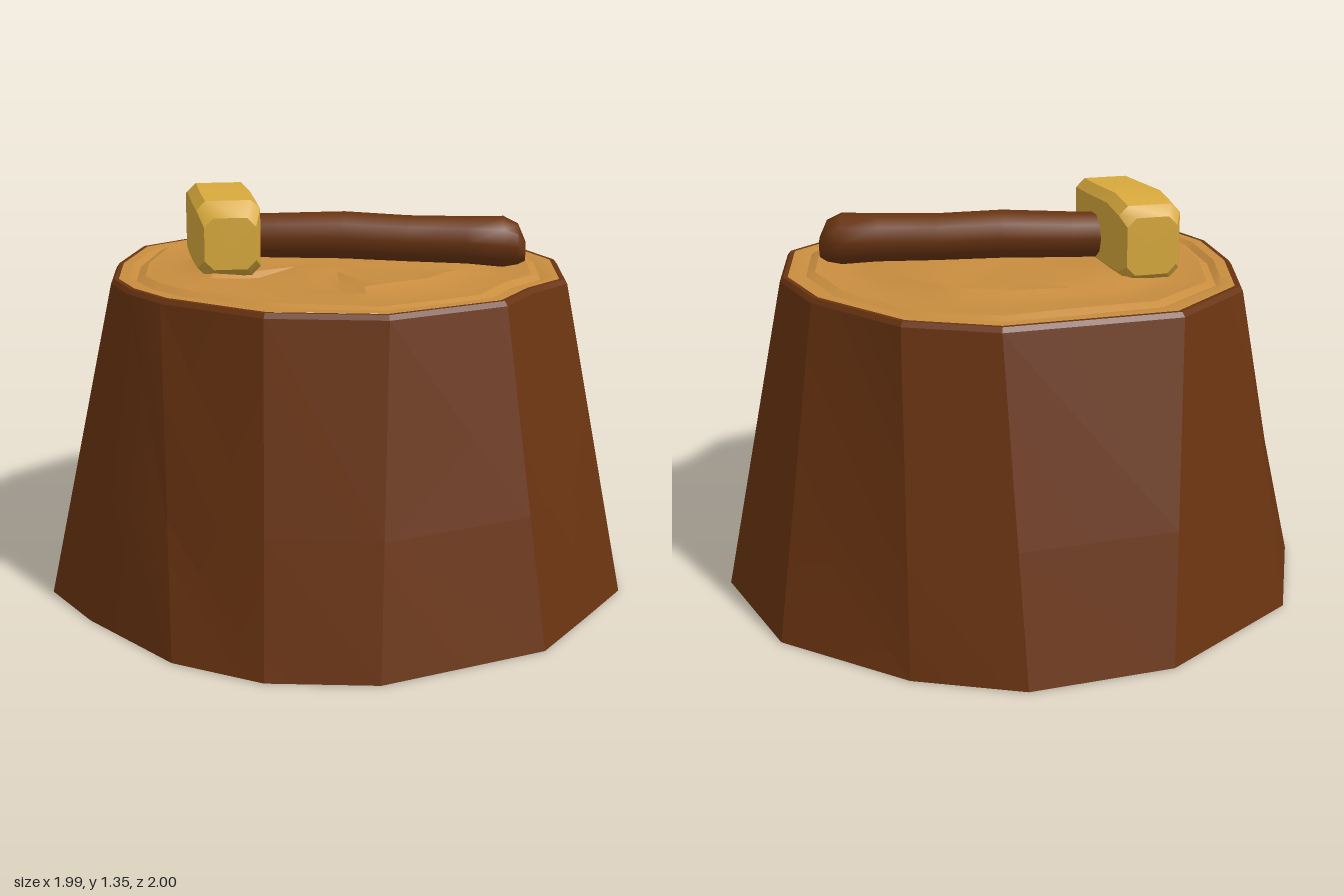
import * as THREE from 'three';
import { toCreasedNormals } from 'three/addons/utils/BufferGeometryUtils.js';

const bark = new THREE.MeshStandardMaterial({ color: 0x6a3411 });
bark.name = 'barkBrown';
const cutWood = new THREE.MeshStandardMaterial({ color: 0xc88d3f });
cutWood.name = 'cutWood';
const gold = new THREE.MeshStandardMaterial({ color: 0xd8a93c });
gold.name = 'goldMetal';
const grey = new THREE.MeshStandardMaterial({ color: 0x8a8080 });
grey.name = 'greyChip';

const V = (x, y, z) => new THREE.Vector3(x, y, z);

// Skin a list of rings; caps close the ends, altSplit(i, j) picks the other quad diagonal
function loft(rings, { start = true, end = true, crease = 0.5, altSplit = () => false } = {}) {
  const tris = [];
  const n = rings[0].length;
  for (let i = 0; i < rings.length - 1; i++) {
    for (let j = 0; j < n; j++) {
      const k = (j + 1) % n;
      const a = rings[i][j], b = rings[i][k], c = rings[i + 1][k], d = rings[i + 1][j];
      if (altSplit(i, j)) tris.push(a, d, b, b, d, c);
      else tris.push(a, d, c, a, c, b);
    }
  }
  const centre = (r) => r.reduce((s, p) => s.add(p), V(0, 0, 0)).divideScalar(n);
  const first = rings[0], last = rings[rings.length - 1];
  const c0 = centre(first), c1 = centre(last);
  for (let j = 0; j < n; j++) {
    const k = (j + 1) % n;
    if (start) tris.push(c0, first[j], first[k]);
    if (end) tris.push(c1, last[k], last[j]);
  }
  return toCreasedNormals(new THREE.BufferGeometry().setFromPoints(tris), crease);
}

function mesh(name, geometry, material) {
  const m = new THREE.Mesh(geometry, material);
  m.name = name;
  return m;
}

// Outlines of the stump [x, z]; entry 5 is the line of the split in the bark
const FOOT = [[-0.02, -1], [0.34, -0.92], [0.76, -0.66], [0.98, -0.22], [0.99, 0.2], [0.86, 0.44], [0.71, 0.71],
  [0.21, 0.99], [-0.14, 1], [-0.44, 0.88], [-0.76, 0.58], [-0.94, 0.35], [-1, 0], [-0.9, -0.46], [-0.48, -0.87]];
const TOP = [[0.05, -0.75], [0.34, -0.68], [0.62, -0.42], [0.74, -0.17], [0.75, 0.18], [0.64, 0.33], [0.55, 0.53],
  [0.21, 0.75], [-0.15, 0.75], [-0.48, 0.57], [-0.61, 0.43], [-0.69, 0.28], [-0.73, 0], [-0.71, -0.33], [-0.49, -0.61]];
const SPLIT = 5;

function barkGeometry() {
  const ring = (pts, y, s = 1) => pts.map(([x, z]) => V(x * s, y, z * s));
  const foot = ring(FOOT, 0);
  const lip = ring(TOP, 1.065, 1.035);
  const mid = foot.map((p, j) => p.clone().lerp(lip[j], 0.42 / 1.065));
  // The tip of the split lies flush with the bark
  mid[SPLIT].copy(mid[SPLIT - 1]).lerp(mid[SPLIT + 1], 0.5);
  return loft([foot, mid, lip, ring(TOP, 1.08, 1.02), ring(TOP, 1.078, 0.99)],
    { end: false, crease: 0.35, altSplit: (i, j) => i === 1 && j === SPLIT - 1 });
}

// Cut face with shallow growth rings and a chipped inner disc
function cutFaceGeometry() {
  const outline = [];
  TOP.forEach(([x, z], j) => {
    const [nx, nz] = TOP[(j + 1) % TOP.length];
    for (let t = 0; t < 3; t++) outline.push([x + (nx - x) * t / 3, z + (nz - z) * t / 3]);
  });
  const profile = [[1, 1.08], [0.95, 1.081], [0.92, 1.072], [0.88, 1.086], [0.75, 1.078],
    [0.64, 1.084], [0.59, 1.098], [0.4, 1.092], [0.2, 1.09]];
  const rings = profile.map(([s, y]) => outline.map(([x, z]) => {
    const a = Math.atan2(z, x);
    const wobble = s < 0.95 ? 0.005 * Math.sin(3 * a + s * 9) : 0;
    const chip = s < 0.62 && s > 0.3 && a > 1.3 && a < 2.6 ? -0.02 : 0;
    return V(x * s, y + wobble + chip, z * s);
  }));
  return loft(rings, { start: false, crease: 0.4 });
}

// Handle: rounded bar along x, stations are [x, y, z, radius]
function handleGeometry() {
  const stations = [[-0.36, 1.18, -0.02, 0.075], [-0.2, 1.18, -0.02, 0.077], [0.03, 1.184, -0.02, 0.081],
    [0.25, 1.175, -0.018, 0.079], [0.45, 1.173, -0.013, 0.081], [0.57, 1.17, -0.01, 0.087],
    [0.62, 1.162, -0.01, 0.07], [0.645, 1.14, -0.005, 0.035]];
  const rings = stations.map(([x, y, z, r]) => Array.from({ length: 10 }, (_, j) => {
    const a = j / 10 * Math.PI * 2;
    return V(x, y + r * Math.sin(a), z + r * Math.cos(a));
  }));
  return loft(rings, { crease: 0.8 });
}

// Hammer head: bevelled block along z, stations are [z, halfWidth, bottom, top]
function headGeometry() {
  const stations = [[-0.265, 0.085, 1.1, 1.29], [-0.235, 0.105, 1.08, 1.325], [-0.12, 0.108, 1.078, 1.345],
    [0.08, 0.108, 1.078, 1.335], [0.21, 0.105, 1.08, 1.33], [0.262, 0.085, 1.11, 1.28]];
  const rings = stations.map(([z, w, lo, hi]) => {
    const b = 0.03;
    return [[-w + b, hi], [w - b, hi], [w, hi - b], [w, lo + b],
      [w - b, lo], [-w + b, lo], [-w, lo + b], [-w, hi - b]].map(([x, y]) => V(x, y, z));
  });
  return loft(rings, { crease: 0.6 });
}

// Sliver on the underside, facing down
function chipGeometry(pts) {
  return new THREE.BufferGeometry().setFromPoints(pts.map(([x, z]) => V(x, -0.002, z)));
}

export function createModel() {
  const model = new THREE.Group();
  model.name = 'stumpWithHammer';

  const stump = new THREE.Group();
  stump.name = 'stump';
  stump.add(mesh('bark', barkGeometry(), bark), mesh('cutFace', cutFaceGeometry(), cutWood));
  const chips = [[[0.87, -0.43], [0.98, -0.22], [0.98, 0.18]], [[-0.02, -0.99], [0.34, -0.92], [0.44, -0.855]]];
  for (const pts of chips) {
    const geo = chipGeometry(pts);
    geo.computeVertexNormals();
    stump.add(mesh('undersideChip', geo, grey));
  }

  const hammer = new THREE.Group();
  hammer.name = 'hammer';
  const head = mesh('hammerHead', headGeometry(), gold);
  head.position.x = -0.385;
  head.rotation.y = 0.24;
  hammer.add(head, mesh('hammerHandle', handleGeometry(), bark));

  model.add(stump, hammer);
  return model;
}
